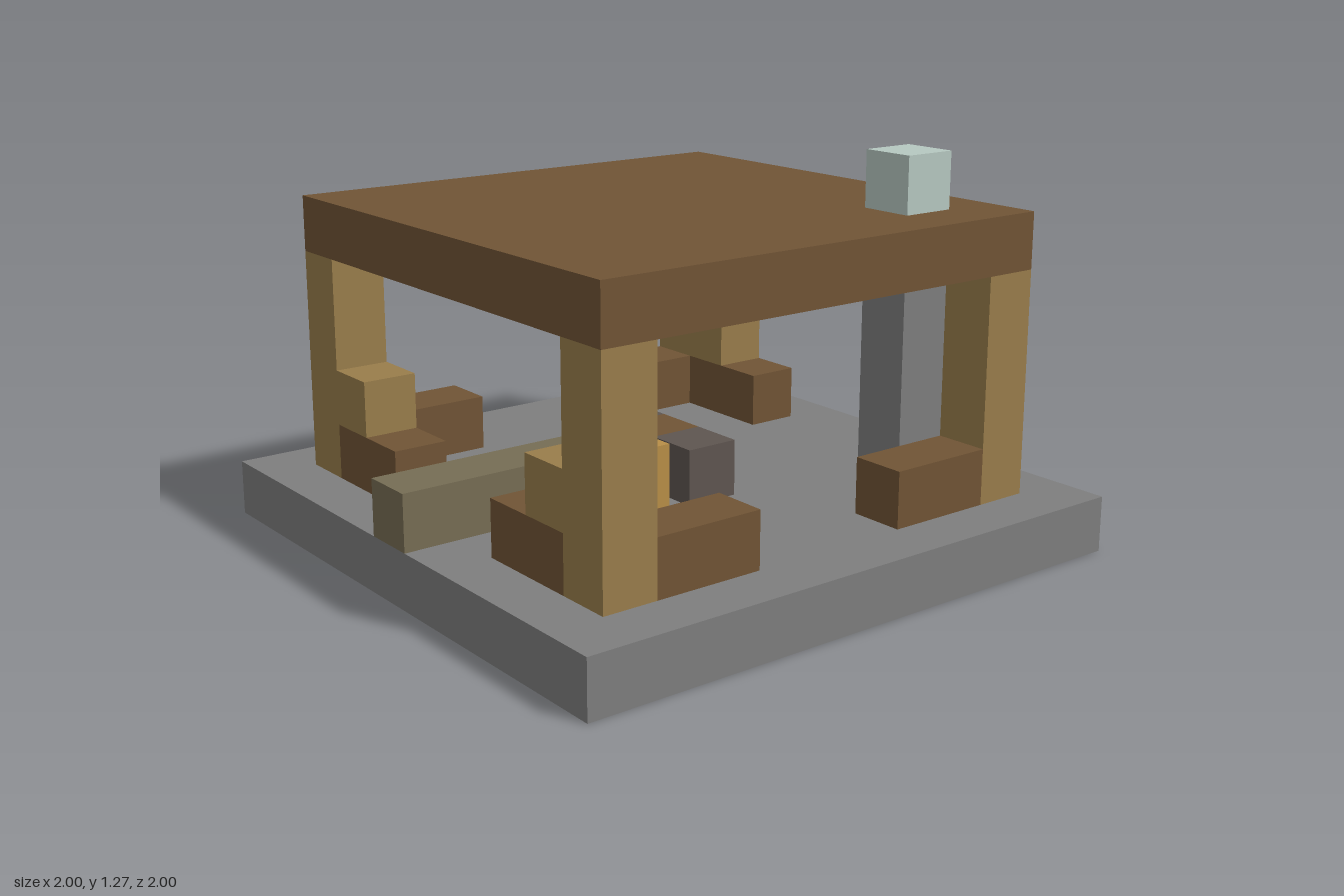
import * as THREE from 'three';

const U = 2 / 11; // one block

const paint = (name, color) => {
  const m = new THREE.MeshStandardMaterial({ color });
  m.name = name;
  return m;
};

export function createModel() {
  const stone = paint('stone grey', 0x7e7e7e);
  const darkWood = paint('dark wood', 0x705435);
  const paleWood = paint('pale wood', 0x997d4b);
  const amber = paint('amber', 0xb88e47);
  const smoke = paint('pale smoke', 0xb6c8c1);
  const charcoal = paint('charcoal', 0x5e5550);
  const gravel = paint('path olive', 0x766d54);

  const model = new THREE.Group();

  // Box filling the block cells from a to b inclusive: [x, layer, z]
  function blocks(name, mat, a, b = a) {
    const size = a.map((v, i) => (Math.abs(b[i] - v) + 1) * U);
    const mid = a.map((v, i) => ((v + b[i]) / 2) * U);
    const mesh = new THREE.Mesh(new THREE.BoxGeometry(...size), mat);
    mesh.position.set(mid[0], mid[1] + U / 2, mid[2]);
    mesh.name = name;
    model.add(mesh);
  }

  // Floor slab and roof
  blocks('floor', stone, [-5, 0, -5], [5, 0, 5]);
  blocks('roof', darkWood, [-4, 5, -4], [4, 5, 4]);

  // Corner posts, each with a brace and two low walls
  for (const sx of [-1, 1]) {
    for (const sz of [-1, 1]) {
      blocks('cornerPost', paleWood, [4 * sx, 1, 4 * sz], [4 * sx, 4, 4 * sz]);
      blocks('postBrace', paleWood, [3 * sx, 2, 4 * sz]);
      blocks('lowWall', darkWood, [2 * sx, 1, 4 * sz], [3 * sx, 1, 4 * sz]);
      blocks('sideLowWall', darkWood, [4 * sx, 1, 2 * sz], [4 * sx, 1, 3 * sz]);
    }
  }

  // Chimney column and its outlet above the roof
  blocks('chimneyColumn', stone, [3, 1, -3], [3, 4, -3]);
  blocks('chimneyTop', smoke, [3, 6, -3]);

  // Entrance path leading to the central bench
  blocks('path', gravel, [0, 1, 1], [0, 1, 5]);
  blocks('benchCentre', darkWood, [0, 1, 0]);
  for (const s of [-1, 1]) blocks('benchEnd', charcoal, [s, 1, 0]);

  // Hanging lantern and corner lamp on its stand
  blocks('lantern', amber, [0, 4, 0]);
  blocks('lampStand', darkWood, [3, 1, 3]);
  blocks('cornerLamp', amber, [3, 2, 3]);

  return model;
}
